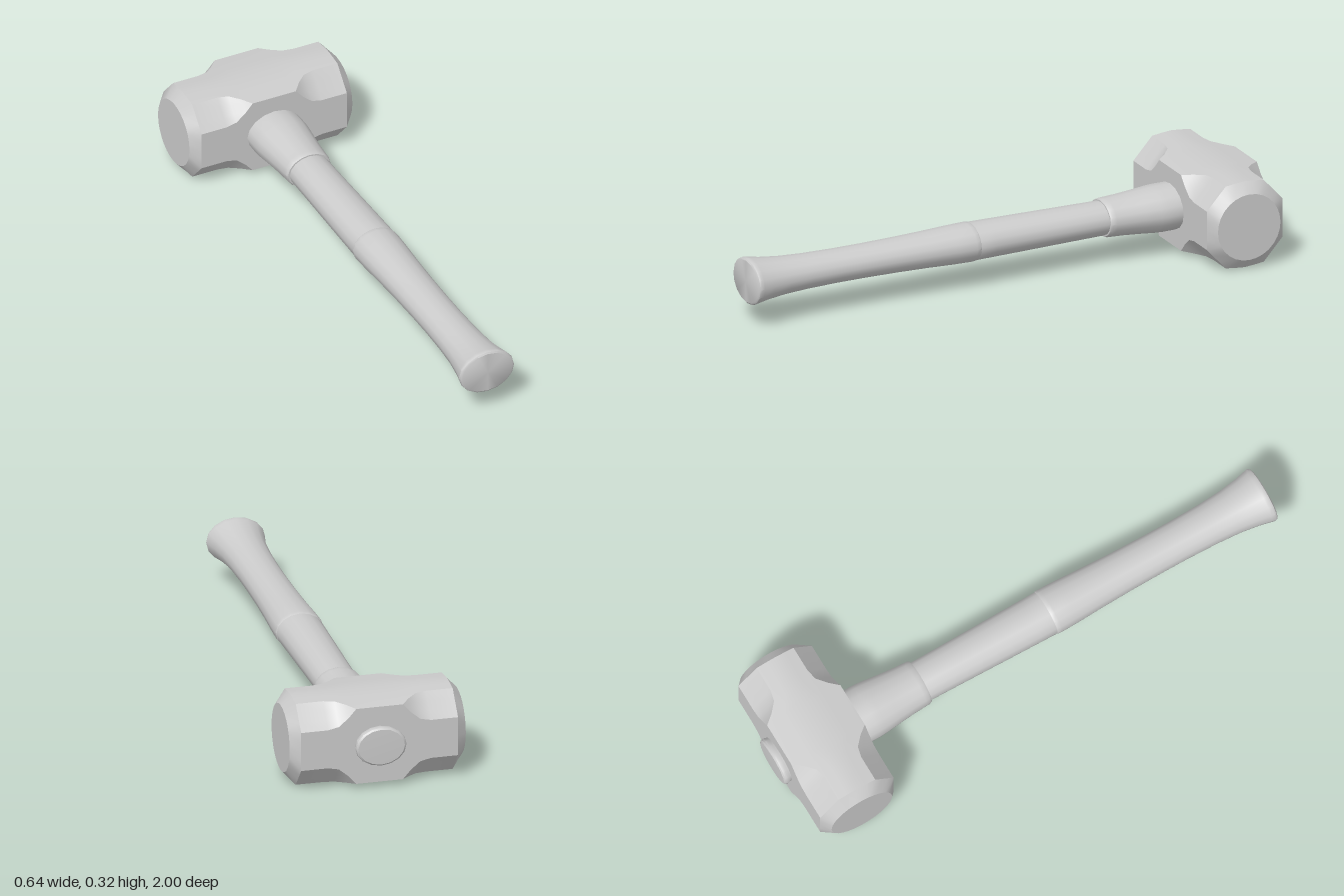
import * as THREE from 'three';
import { toCreasedNormals } from 'three/addons/utils/BufferGeometryUtils.js';

const AXIS_Y = 0.162, HEAD_Z = -0.82;
const HALF_Z = 0.149, HALF_Y = 0.161;
const CREASE = 0.6;
const lerp = THREE.MathUtils.lerp;

// Slightly crowned top of the head
const crown = (z) => HALF_Y - 0.019 * Math.pow(z / HALF_Z, 1.3);

// One quarter of the head section: flat cheek, corner cut, crowned top. cut: 0 = square, 1 = octagon
function quarterSection(cut) {
  const yA = lerp(crown(HALF_Z), 0.072, cut);
  const zB = lerp(HALF_Z, 0.075, cut);
  const yB = crown(zB);
  const q = [];
  for (let i = 0; i < 2; i++) q.push([HALF_Z, yA * i / 2]);
  for (let i = 0; i < 3; i++) q.push([lerp(HALF_Z, zB, i / 3), lerp(yA, yB, i / 3)]);
  for (let i = 0; i <= 2; i++) {
    const z = zB * (1 - i / 2);
    q.push([z, crown(z)]);
  }
  return q;
}

// Mirror a quarter into a full closed ring
function fullRing(q) {
  const half = [...q, ...q.slice(0, -1).reverse().map(([z, y]) => [-z, y])];
  return [...half, ...half.slice(1, -1).reverse().map(([z, y]) => [z, -y])];
}

function headGeometry() {
  // Stations from the centre to one striking face: x, amount of corner cut
  const half = [[0.085, 0], [0.113, 0.46], [0.148, 0.88], [0.187, 1], [0.285, 1]]
    .map(([x, cut]) => ({ x, ring: fullRing(quarterSection(cut)) }));
  const face = quarterSection(1).map(([z, y]) => {
    const k = 0.123 / Math.hypot(z, y);
    return [z * k, y * k];
  });
  half.push({ x: 0.32, ring: fullRing(face) });
  const stations = [...half.map((s) => ({ x: -s.x, ring: s.ring })).reverse(), ...half];

  const pts = stations.map(({ x, ring }) => ring.map(([z, y]) => new THREE.Vector3(x, y, z)));
  const pos = [];
  const tri = (a, b, c) => {
    if (new THREE.Triangle(a, b, c).getArea() > 1e-9) {
      for (const p of [a, b, c]) pos.push(p.x, p.y, p.z);
    }
  };
  const n = pts[0].length, last = pts.length - 1;
  const left = new THREE.Vector3(0.32, 0, 0), right = new THREE.Vector3(-0.32, 0, 0);
  for (let j = 0; j < n; j++) {
    const k = (j + 1) % n;
    for (let i = 0; i < last; i++) {
      tri(pts[i][j], pts[i + 1][j], pts[i][k]);
      tri(pts[i + 1][j], pts[i + 1][k], pts[i][k]);
    }
    tri(right, pts[0][j], pts[0][k]);
    tri(left, pts[last][k], pts[last][j]);
  }
  const g = new THREE.BufferGeometry();
  g.setAttribute('position', new THREE.Float32BufferAttribute(pos, 3));
  return toCreasedNormals(g, CREASE);
}

// Oval turned part along z, from [half width, z] points
function turned(points) {
  const g = new THREE.LatheGeometry(points.map(([r, z]) => new THREE.Vector2(r, z)), 16);
  g.scale(1, 1, 0.785);
  g.rotateX(Math.PI / 2);
  return toCreasedNormals(g, CREASE);
}

export function createModel() {
  const group = new THREE.Group();
  const material = new THREE.MeshStandardMaterial({ color: 0xcccccc });
  const add = (name, geometry, z = 0) => {
    const mesh = new THREE.Mesh(geometry, material);
    mesh.name = name;
    mesh.position.set(0, AXIS_Y, z);
    group.add(mesh);
  };

  add('hammerHead', headGeometry(), HEAD_Z);

  // Flared rear grip with a softly rounded butt
  add('grip', turned([
    [0, 0.11], [0.083, 0.11], [0.087, 0.116], [0.088, 0.13], [0.086, 0.2], [0.081, 0.3],
    [0.077, 0.42], [0.075, 0.55], [0.075, 0.65], [0.078, 0.77], [0.084, 0.86],
    [0.094, 0.93], [0.104, 0.975], [0.107, 0.987], [0.105, 0.994], [0.098, 0.998], [0, 1],
  ]));

  // Slim middle of the handle
  add('handleShaft', turned([
    [0.076, -0.41], [0.077, -0.39], [0.079, -0.25], [0.082, -0.08], [0.084, 0.05], [0.085, 0.12],
  ]));

  // Flared collar under the head
  add('collar', turned([
    [0.105, -0.7], [0.106, -0.62], [0.104, -0.59], [0.097, -0.53], [0.091, -0.47],
    [0.088, -0.42], [0.087, -0.405], [0.083, -0.397], [0, -0.395],
  ]));

  // End of the handle showing through the back of the head
  add('handleTip', turned([
    [0, -1], [0.084, -0.998], [0.091, -0.993], [0.093, -0.985], [0.09, -0.975], [0.086, -0.95],
  ]));

  return group;
}
